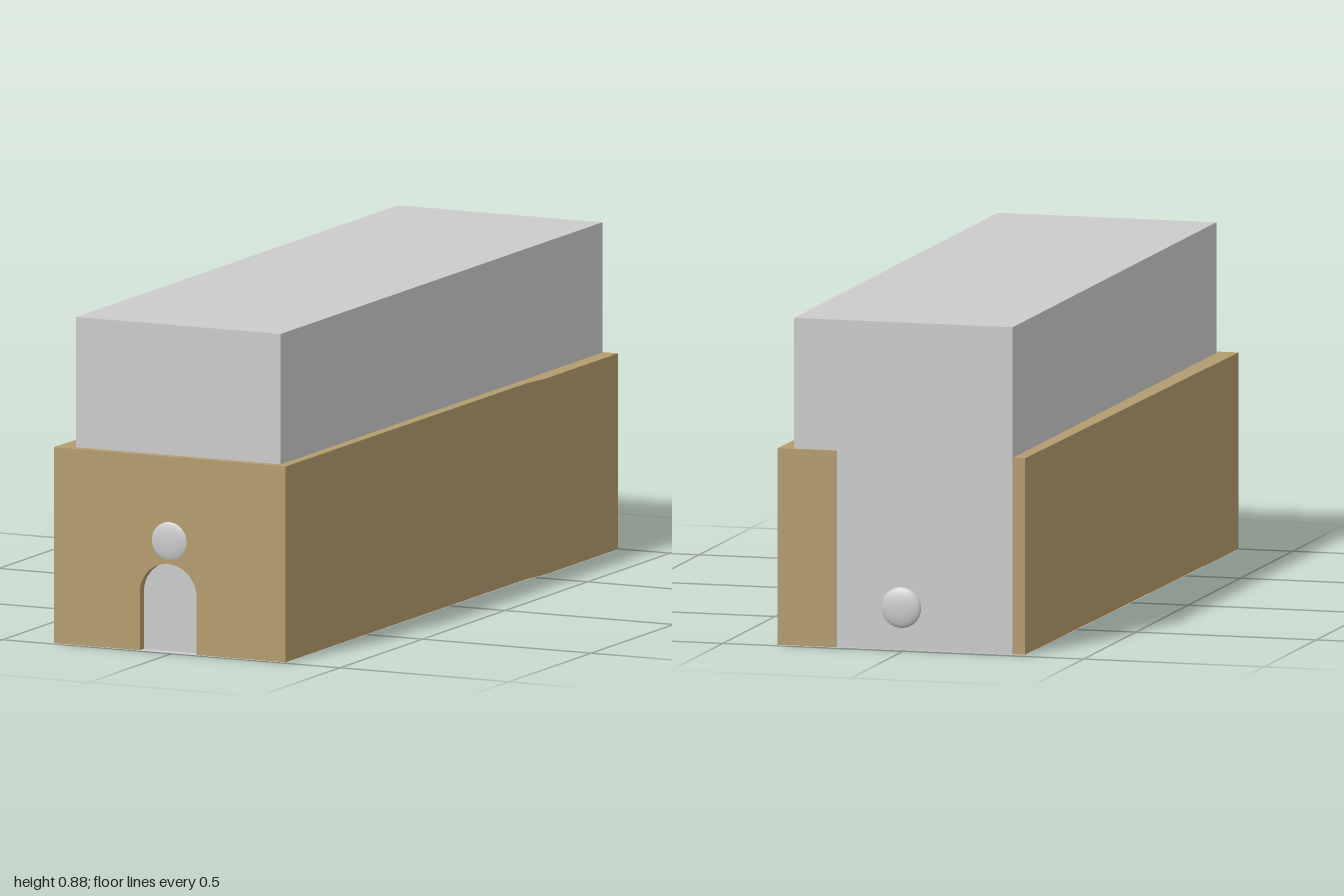
import * as THREE from 'three';

export function createModel() {
  const group = new THREE.Group();
  const grey = new THREE.MeshStandardMaterial({ color: 0xcccccc });
  const greyThin = new THREE.MeshStandardMaterial({ color: 0xcccccc, side: THREE.DoubleSide });
  const tan = new THREE.MeshStandardMaterial({ color: 0xb39b6d });

  const add = (name, geometry, material) => {
    const mesh = new THREE.Mesh(geometry, material);
    mesh.name = name;
    group.add(mesh);
    return mesh;
  };
  // Plan outlines are given as [x, z] pairs
  const plan = (points) => new THREE.Shape(points.map(([x, z]) => new THREE.Vector2(x, -z)));

  const shellHeight = 0.53;
  const lift = 0.001;
  const frontZ = 0.992;
  const coreFront = 0.967;
  const coreBack = -0.982;
  const coreLeft = 0.308;
  const coreRight = -0.298;

  // Tall inner block
  const core = add('innerBlock',
    new THREE.BoxGeometry(coreLeft - coreRight, 0.882 - lift, coreFront - coreBack), grey);
  core.position.set((coreLeft + coreRight) / 2, (0.882 + lift) / 2, (coreFront + coreBack) / 2);

  // Long side walls; the left one jogs outward and wraps round the back corner
  const leftOuter = [[0.335, coreFront], [0.338, -0.46], [0.351, -0.54], [0.351, -0.99]];
  const rightOuter = [[-0.331, -0.978], [-0.352, coreFront]];
  const walls = {
    leftWall: [...leftOuter, [0.19, -0.987], [0.19, coreBack], [coreLeft, coreBack], [coreLeft, coreFront]],
    rightWall: [...rightOuter, [coreRight, coreFront], [coreRight, -0.978]],
  };
  for (const [name, points] of Object.entries(walls)) {
    const geometry = new THREE.ExtrudeGeometry(plan(points), { depth: shellHeight - lift, bevelEnabled: false });
    add(name, geometry.rotateX(-Math.PI / 2), tan).position.y = lift;
  }

  // Front wall with an arched doorway
  const archX = -0.013, archR = 0.084, springY = 0.156;
  const front = new THREE.Shape();
  front.moveTo(-0.352, lift);
  front.lineTo(archX - archR, lift);
  front.lineTo(archX - archR, springY);
  front.absarc(archX, springY, archR, Math.PI, 0, true);
  front.lineTo(archX + archR, lift);
  front.lineTo(0.335, lift);
  front.lineTo(0.335, shellHeight);
  front.lineTo(-0.352, shellHeight);
  add('frontWall', new THREE.ExtrudeGeometry(front,
    { depth: frontZ - coreFront, bevelEnabled: false, curveSegments: 24 }), tan).position.z = coreFront;

  // Thin floor under everything
  const floor = plan([[0.335, frontZ], ...leftOuter, [0.19, -0.987], [0.19, coreBack],
    [coreRight, coreBack], ...rightOuter, [-0.352, frontZ]]);
  add('floor', new THREE.ShapeGeometry(floor).rotateX(-Math.PI / 2), greyThin);

  // Shallow domed discs on the front and back
  const dome = (name, x, y, z, depth) => {
    const mesh = add(name, new THREE.SphereGeometry(0.055, 32, 20), grey);
    mesh.scale.z = depth / 0.055;
    mesh.position.set(x, y, z);
  };
  dome('frontDisc', -0.01, 0.302, 0.988, 0.012);
  dome('backDisc', 0.01, 0.115, -0.984, 0.016);

  return group;
}
